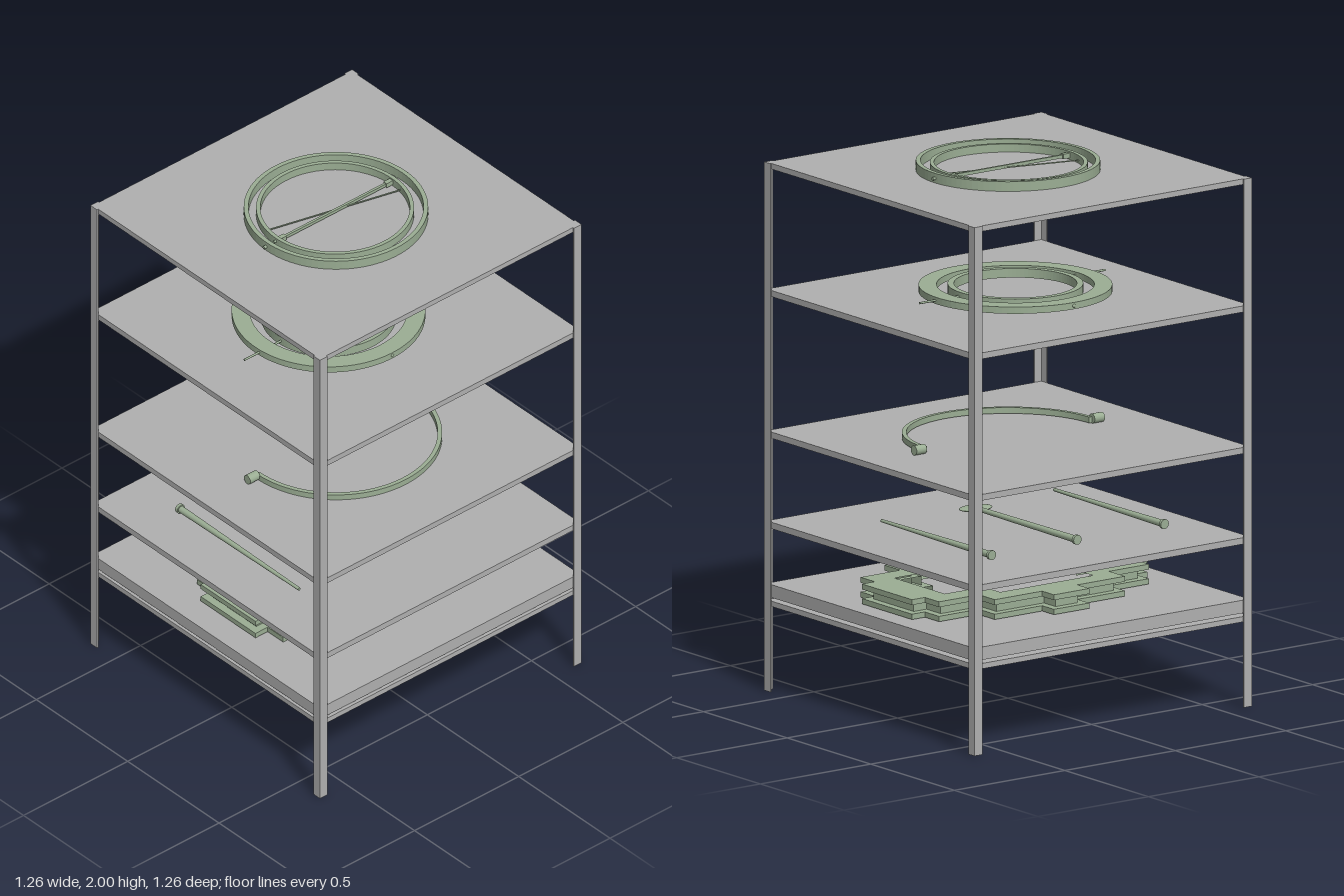
import * as THREE from 'three';

export function createModel() {
  const model = new THREE.Group();
  const grey = new THREE.MeshStandardMaterial({ color: 0xb0b0b0 });
  grey.name = 'rackGrey';
  const green = new THREE.MeshStandardMaterial({ color: 0x9bae94 });
  green.name = 'sageGreen';

  const add = (parent, name, geometry, material, x = 0, y = 0, z = 0) => {
    const mesh = new THREE.Mesh(geometry, material);
    mesh.name = name;
    mesh.position.set(x, y, z);
    parent.add(mesh);
    return mesh;
  };
  const group = (name, x = 0, y = 0, z = 0) => {
    const g = new THREE.Group();
    g.name = name;
    g.position.set(x, y, z);
    model.add(g);
    return g;
  };
  const box = (w, h, d) => new THREE.BoxGeometry(w, h, d);
  // Shape laid flat and raised by a height
  const slab = (shape, height) => new THREE.ExtrudeGeometry(shape,
    { depth: height, bevelEnabled: false, curveSegments: 48 }).rotateX(-Math.PI / 2);
  const annulus = (outer, inner, height) => {
    const shape = new THREE.Shape().absarc(0, 0, outer, 0, Math.PI * 2);
    shape.holes.push(new THREE.Path().absarc(0, 0, inner, 0, Math.PI * 2));
    return slab(shape, height);
  };
  const rodX = (radius, length) =>
    new THREE.CylinderGeometry(radius, radius, length, 16).rotateZ(Math.PI / 2);

  // Rack: angle-section posts and shelves fitted inside them
  const rack = group('rack');
  const half = 0.628, wall = 0.006, flange = 0.036;
  for (const sx of [-1, 1]) for (const sz of [-1, 1]) {
    add(rack, 'postFlange', box(flange, 1.963, wall), grey,
      sx * (half - flange / 2), 0.9815, sz * (half - wall / 2));
    add(rack, 'postFlange', box(wall, 1.963, flange - wall), grey,
      sx * (half - wall / 2), 0.9815, sz * (half - wall - (flange - wall) / 2));
  }
  for (const [bottom, top] of [[0.317, 0.337], [0.35, 0.398], [0.606, 0.63],
    [0.942, 0.965], [1.468, 1.491], [1.942, 1.963]]) {
    const w = 2 * (half - wall);
    add(rack, 'shelf', box(w, top - bottom, w), grey, 0, (bottom + top) / 2, 0);
  }

  // Top shelf: two concentric rings with a crossbar and needle
  const gimbal = group('gimbalRings', 0, 1.964, 0);
  add(gimbal, 'outerRing', annulus(0.333, 0.316, 0.036), green);
  add(gimbal, 'innerRing', annulus(0.285, 0.27, 0.03), green, 0, 0, -0.005);
  add(gimbal, 'crossbar', box(0.54, 0.012, 0.01), green, 0, 0.015, -0.005);
  for (const s of [-1, 1]) {
    add(gimbal, 'crossbarEnd', box(0.03, 0.018, 0.018), green, s * 0.255, 0.015, -0.005);
    add(gimbal, 'outerPivot', rodX(0.006, 0.014), green, s * 0.338, 0.017, -0.003);
    add(gimbal, 'innerPivot', rodX(0.005, 0.014), green, s * 0.288, 0.017, -0.005);
  }
  add(gimbal, 'needle', box(0.54, 0.004, 0.004), green, 0.002, 0.012, -0.014)
    .rotation.y = -0.247;

  // Second shelf: broad flat ring, narrow inner ring and side spindles
  const flatRings = group('flatRings', -0.02, 1.514, -0.018);
  add(flatRings, 'broadRing', annulus(0.35, 0.285, 0.025), green);
  add(flatRings, 'narrowRing', annulus(0.245, 0.222, 0.034), green, 0, -0.005, 0);
  for (const s of [-1, 1]) {
    add(flatRings, 'spindle', rodX(0.004, 0.175), green, s * 0.3325, 0.0125, 0.018);
    add(flatRings, 'ringStud', new THREE.SphereGeometry(0.007, 12, 8), green,
      0, 0.0125, s * 0.348);
  }

  // Third shelf: half-circle hoop with round end fittings
  const hoop = group('halfHoop', 0, 0.968, 0);
  const arc = new THREE.Shape();
  arc.absarc(0, 0, 0.383, Math.PI, Math.PI * 2, false);
  arc.absarc(0, 0, 0.367, Math.PI * 2, Math.PI, true);
  add(hoop, 'hoopBand', slab(arc, 0.022), green);
  for (const s of [-1, 1])
    add(hoop, 'hoopFitting', rodX(0.018, 0.046), green, s * 0.403, 0.015, 0);

  // Fourth shelf: tapered rods with collars, the middle one with a flat blade
  const rods = group('rods', 0, 0.655, 0);
  const rodZ = (front, back, length) =>
    new THREE.CylinderGeometry(front, back, length, 16).rotateX(Math.PI / 2);
  for (const x of [-0.43, 0.352]) {
    add(rods, 'taperedRod', rodZ(0.006, 0.013, 0.655), green, x, 0, -0.0375);
    add(rods, 'rodCollar', rodZ(0.018, 0.018, 0.012), green, x, 0, -0.364);
  }
  add(rods, 'bladeShaft', rodZ(0.009, 0.013, 0.6), green, -0.035, 0, -0.06);
  add(rods, 'shaftCollar', rodZ(0.018, 0.018, 0.012), green, -0.035, 0, -0.364);
  add(rods, 'blade', new THREE.SphereGeometry(1, 24, 12), green, -0.035, 0, 0.24)
    .scale.set(0.068, 0.008, 0.045);

  // Lowest shelf: stepped oval frame with a recessed web between two plates
  const frame = group('steppedFrame', 0.015, 0.402, 0);
  const outerSteps = [[0.08, 0.4], [0.295, 0.33], [0.475, 0.235], [0.533, 0.15]];
  const innerSteps = [[0.21, 0.25], [0.385, 0.15]];
  const stepped = (steps, inset) => {
    // One quadrant of stairs, mirrored into all four
    const quarter = [];
    steps.forEach(([x, z], i) => {
      quarter.push([x - inset, z - inset]);
      if (i < steps.length - 1) quarter.push([x - inset, steps[i + 1][1] - inset]);
    });
    const back = [...quarter].reverse();
    return [
      ...quarter,
      ...back.map(([x, z]) => [x, -z]),
      ...quarter.map(([x, z]) => [-x, -z]),
      ...back.map(([x, z]) => [-x, z]),
    ].map(([x, z]) => new THREE.Vector2(x, z));
  };
  const frameLayer = (inset, height) => {
    const shape = new THREE.Shape(stepped(outerSteps, inset));
    shape.holes.push(new THREE.Path(stepped(innerSteps, -inset)));
    return slab(shape, height);
  };
  add(frame, 'bottomPlate', frameLayer(0, 0.02), green);
  add(frame, 'recessedWeb', frameLayer(0.03, 0.034), green, 0, 0.02, 0);
  add(frame, 'topPlate', frameLayer(0, 0.02), green, 0, 0.054, 0);

  return model;
}
